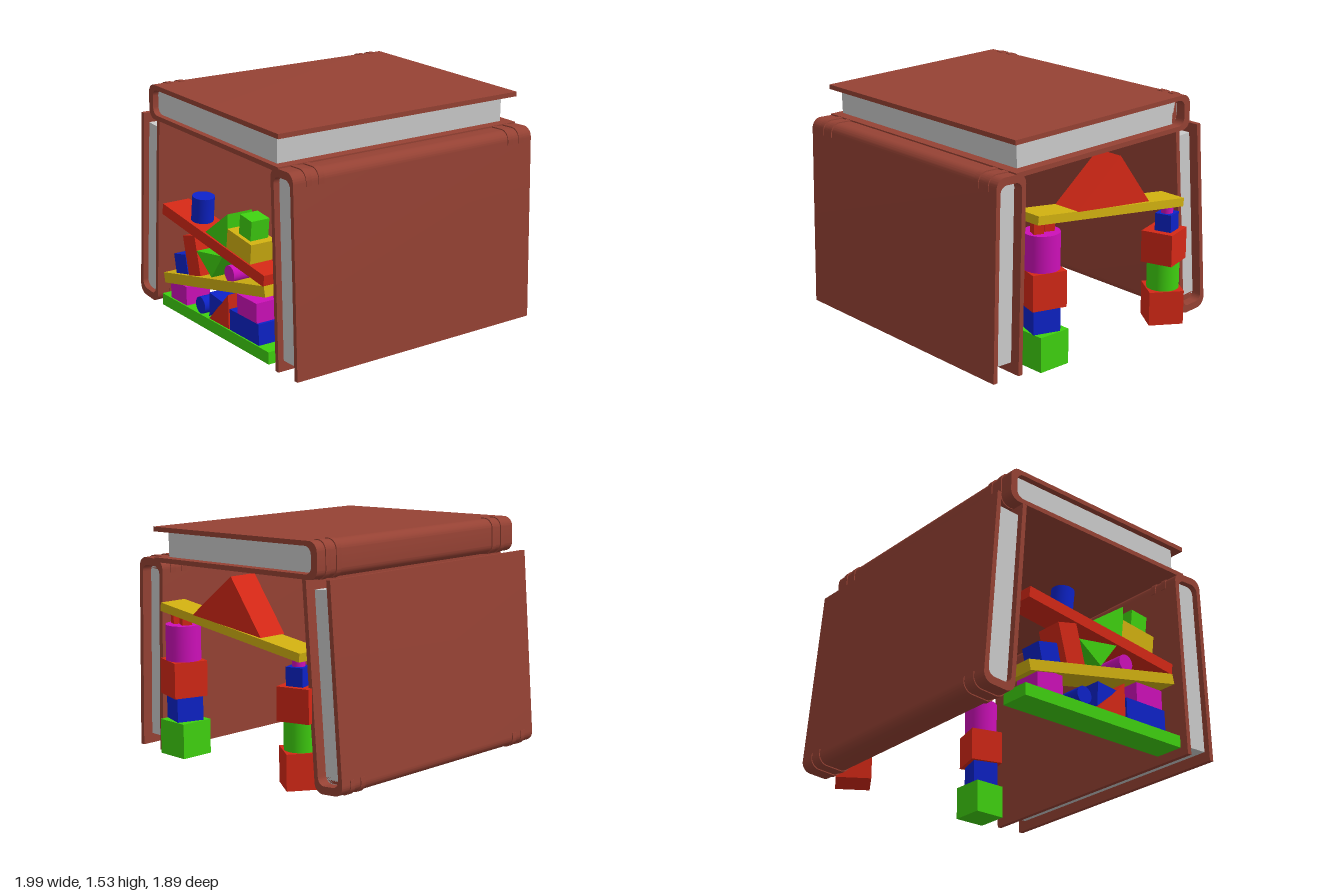
import * as THREE from 'three';
import { toCreasedNormals } from 'three/addons/utils/BufferGeometryUtils.js';

const mat = (color) => new THREE.MeshStandardMaterial({ color });
const M = {
  cover: mat(0x964234), page: mat(0xcccccc), red: mat(0xd42816), green: mat(0x3fd010),
  blue: mat(0x0d22c8), yellow: mat(0xd0b010), magenta: mat(0xcc10b8),
};

function add(parent, name, geometry, material, x = 0, y = 0, z = 0) {
  const mesh = new THREE.Mesh(geometry, material);
  mesh.name = name;
  mesh.position.set(x, y, z);
  parent.add(mesh);
  return mesh;
}

// Extrude a (-z, y) outline along x, from x0 to x1
function extrudeX(shape, x0, x1) {
  const geo = new THREE.ExtrudeGeometry(shape, { depth: x1 - x0, bevelEnabled: false, curveSegments: 8 });
  geo.rotateY(Math.PI / 2).translate(x0, 0, 0);
  return toCreasedNormals(geo, 0.6);
}

// Slab outline with its two corners at the "end" side rounded
function roundedSlab(shape, start, end, half, r) {
  shape.moveTo(start, -half);
  shape.lineTo(end - r, -half);
  shape.absarc(end - r, -half + r, r, -Math.PI / 2, 0, false);
  shape.absarc(end - r, half - r, r, 0, Math.PI / 2, false);
  shape.lineTo(start, half);
  return shape;
}

// Book lying flat: spine at z = 0, fore-edge at z = length
function book(name, length) {
  const g = new THREE.Group();
  g.name = name;
  const half = 0.116, inner = 0.085, spine = 0.05;
  const cover = roundedSlab(new THREE.Shape(), -length, 0, half, 0.065);
  cover.lineTo(-length, inner);
  cover.lineTo(-spine - 0.05, inner);
  cover.absarc(-spine - 0.05, inner - 0.05, 0.05, Math.PI / 2, 0, true);
  cover.absarc(-spine - 0.05, -inner + 0.05, 0.05, 0, -Math.PI / 2, true);
  cover.lineTo(-length, -inner);
  add(g, 'bookCover', extrudeX(cover, -0.99, 0.87), M.cover);
  const pages = roundedSlab(new THREE.Shape(), -length + 0.068, -spine, inner, 0.05);
  add(g, 'bookPages', extrudeX(pages, -0.95, 0.80), M.page);
  // raised bands across the spine
  for (const x of [-0.88, -0.79, 0.69, 0.78]) {
    const band = roundedSlab(new THREE.Shape(), -0.09, 0.007, half + 0.005, 0.068);
    add(g, 'spineBand', extrudeX(band, x - 0.02, x + 0.02), M.cover);
  }
  return g;
}

// Triangular block from three [z, y] corners
function wedge(parent, name, material, corners, x0, x1) {
  const pts = corners.map(([z, y]) => new THREE.Vector2(-z, y));
  add(parent, name, extrudeX(new THREE.Shape(pts), x0, x1), material);
}

function box(parent, name, material, size, pos, tilt = 0, turn = 0) {
  const mesh = add(parent, name, new THREE.BoxGeometry(...size), material, ...pos);
  mesh.rotation.set(tilt, turn, 0);
  return mesh;
}

function cylinder(parent, name, material, r, h, pos) {
  const geo = new THREE.CylinderGeometry(r, r, h, 32);
  return add(parent, name, geo, material, ...pos);
}

export function createModel() {
  const model = new THREE.Group();
  model.name = 'bookHouse';

  // Two standing books carry a third as the roof
  const front = book('frontBook', 1.285);
  front.position.set(0, 1.287, 0.795);
  front.rotation.x = Math.PI / 2 - 0.024;
  const back = book('backBook', 1.295);
  back.position.set(0, 0.014, -0.835);
  back.rotation.x = -Math.PI / 2 + 0.082;
  const roof = book('roofBook', 1.5);
  roof.position.set(0, 1.415, -0.738);
  roof.rotation.x = 0.023;
  model.add(front, back, roof);

  // Doorway on the right: two towers, a lintel plank and a gable
  const door = new THREE.Group();
  door.name = 'doorway';
  model.add(door);
  const dx = 0.836, fz = 0.522, bz = -0.568;
  box(door, 'towerCube', M.green, [0.23, 0.23, 0.23], [dx, 0.13, 0.515]);
  box(door, 'towerCube', M.blue, [0.18, 0.165, 0.18], [dx - 0.005, 0.328, fz], 0, -0.31);
  box(door, 'towerCube', M.red, [0.23, 0.235, 0.23], [dx, 0.5275, fz], 0, -0.287);
  cylinder(door, 'towerDrum', M.magenta, 0.115, 0.235, [dx, 0.7625, fz]);
  for (const z of [0.57, 0.482]) {
    box(door, 'spacerCube', M.red, [0.065, 0.075, 0.065], [dx + 0.01, 0.915, z], 0, -0.4);
  }
  box(door, 'towerCube', M.red, [0.23, 0.23, 0.23], [dx, 0.13, bz], 0, -0.57);
  cylinder(door, 'towerDrum', M.green, 0.107, 0.185, [dx, 0.338, bz]);
  box(door, 'towerCube', M.red, [0.22, 0.215, 0.22], [dx, 0.538, bz], 0, 0.3);
  box(door, 'towerCube', M.blue, [0.115, 0.118, 0.115], [dx + 0.02, 0.705, bz], 0, 0.3);
  cylinder(door, 'towerDrum', M.magenta, 0.04, 0.075, [dx + 0.02, 0.8, bz]);
  box(door, 'lintelPlank', M.yellow, [0.2, 0.056, 1.29], [0.828, 0.911, -0.005], -0.122);
  wedge(door, 'gable', M.red, [[-0.05, 1.26], [0.315, 0.975], [-0.315, 0.91]], 0.73, 0.93);

  // Wall on the left: planks with small blocks between them
  const wall = new THREE.Group();
  wall.name = 'blockWall';
  model.add(wall);
  const wx = -0.895, w = 0.2, x0 = wx - 0.09, x1 = wx + 0.09;
  box(wall, 'basePlank', M.green, [w, 0.08, 1.28], [wx, 0.06, 0]);
  box(wall, 'lowerPlank', M.yellow, [w, 0.07, 1.24], [wx, 0.352, 0], -0.21);
  box(wall, 'upperPlank', M.red, [w, 0.075, 1.21], [wx, 0.626, 0], 0.132);

  // bottom row
  box(wall, 'block', M.blue, [0.18, 0.14, 0.33], [wx, 0.17, 0.355]);
  box(wall, 'block', M.magenta, [0.18, 0.13, 0.22], [wx, 0.305, 0.39]);
  box(wall, 'block', M.magenta, [0.18, 0.13, 0.2], [wx, 0.165, -0.44]);
  wedge(wall, 'wedge', M.red, [[0.175, 0.33], [0.175, 0.1], [-0.06, 0.1]], x0, x1);
  wedge(wall, 'wedge', M.blue, [[0.11, 0.26], [-0.06, 0.115], [-0.05, 0.28]], x0, x1);
  cylinder(wall, 'roller', M.blue, 0.057, 0.18, [wx, 0.157, -0.165]).rotation.z = Math.PI / 2;

  // middle row
  cylinder(wall, 'roller', M.magenta, 0.056, 0.18, [wx, 0.475, 0.195]).rotation.z = Math.PI / 2;
  wedge(wall, 'wedge', M.green, [[0.12, 0.57], [-0.02, 0.39], [-0.2, 0.52]], x0, x1);
  box(wall, 'block', M.red, [0.18, 0.265, 0.15], [wx, 0.47, -0.26], -0.24);
  box(wall, 'block', M.blue, [0.15, 0.14, 0.15], [wx, 0.36, -0.425], -0.21);

  // top row
  box(wall, 'block', M.yellow, [0.18, 0.135, 0.27], [wx, 0.685, 0.31], 0.132);
  box(wall, 'block', M.green, [0.13, 0.13, 0.13], [wx, 0.815, 0.35], 0.132);
  wedge(wall, 'wedge', M.green, [[0.19, 0.865], [0.175, 0.64], [-0.08, 0.68]], x0, x1);
  cylinder(wall, 'drum', M.blue, 0.073, 0.175, [wx, 0.778, -0.252]).rotation.x = 0.132;

  return model;
}
